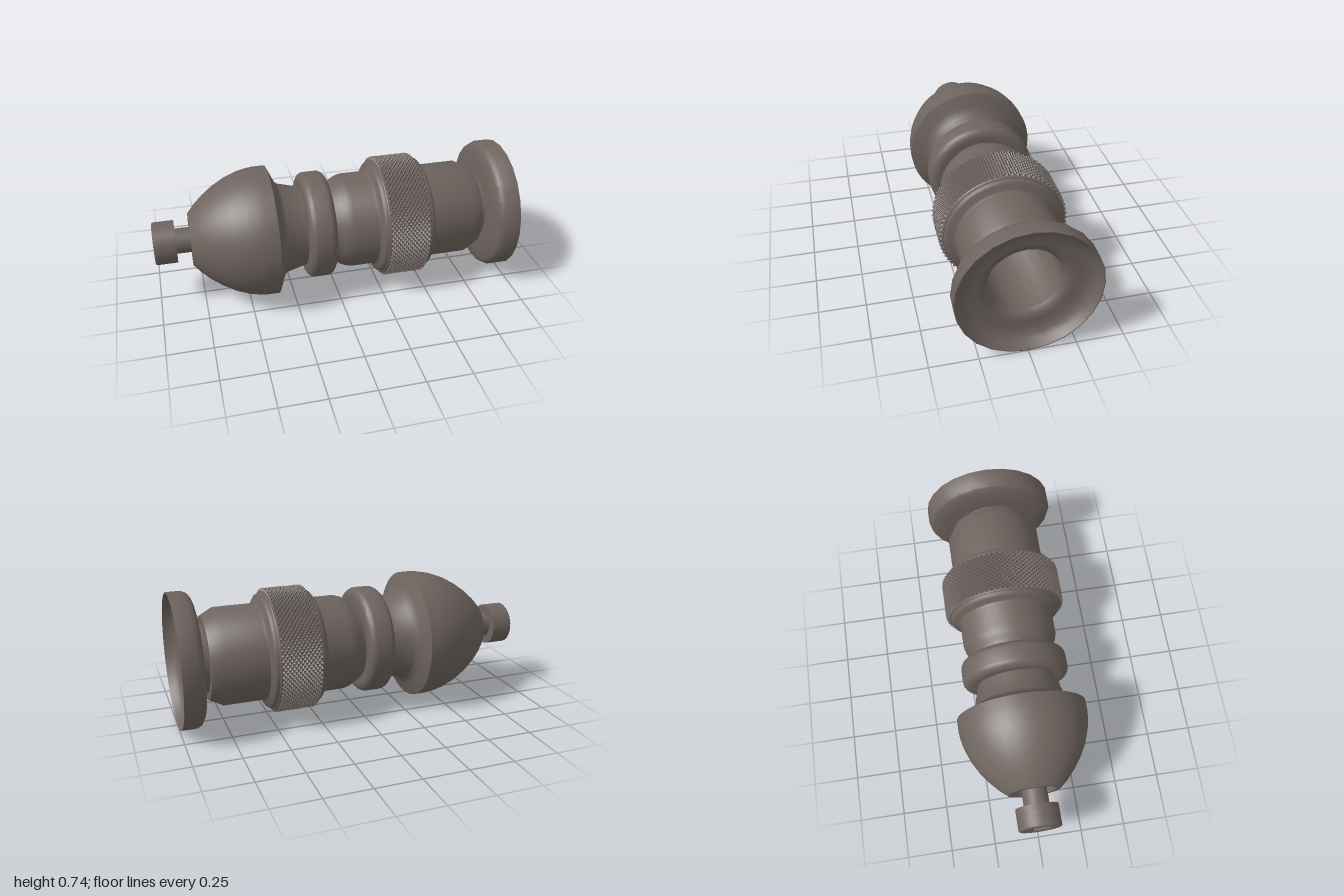
import * as THREE from 'three';
import { toCreasedNormals } from 'three/addons/utils/BufferGeometryUtils.js';

const material = new THREE.MeshStandardMaterial({ color: 0x6e645f });
const AXIS_HEIGHT = 0.37;

function part(name, geometry) {
  const mesh = new THREE.Mesh(geometry, material);
  mesh.name = name;
  return mesh;
}

// Turned part about the x axis from [x, radius] points
function turned(name, profile, segments = 48) {
  const points = profile.map(([x, r]) => new THREE.Vector2(r, x));
  const geometry = new THREE.LatheGeometry(points, segments);
  geometry.rotateZ(-Math.PI / 2);
  return part(name, toCreasedNormals(geometry, 0.6));
}

// Points along a quarter-ellipse from angle a to b
function arc(cx, cr, rx, rr, a, b, steps = 6) {
  return Array.from({ length: steps + 1 }, (_, i) => {
    const t = THREE.MathUtils.degToRad(a + (b - a) * i / steps);
    return [cx + rx * Math.cos(t), cr + rr * Math.sin(t)];
  });
}

// Band of small diamond pyramids wrapped around the axis
function knurl(x0, x1, low, high, rows, around) {
  const positions = [], index = [];
  for (let i = 0; i <= rows; i++) {
    for (let j = 0; j <= around; j++) {
      const a = j / around * Math.PI * 2;
      const peak = (i + j) % 2 === 0 && i > 0 && i < rows;
      const r = peak ? high : low;
      positions.push(x0 + (x1 - x0) * i / rows, r * Math.cos(a), r * Math.sin(a));
    }
  }
  for (let i = 0; i < rows; i++) {
    for (let j = 0; j < around; j++) {
      const a = i * (around + 1) + j, b = a + around + 1, c = b + 1, d = a + 1;
      // Split each cell along its valley
      if ((i + j) % 2 === 0) index.push(a, b, d, b, c, d);
      else index.push(a, b, c, a, c, d);
    }
  }
  let geometry = new THREE.BufferGeometry();
  geometry.setAttribute('position', new THREE.Float32BufferAttribute(positions, 3));
  // Wind outwards: +x crossed with +angle points in, so reverse
  for (let k = 0; k < index.length; k += 3) [index[k + 1], index[k + 2]] = [index[k + 2], index[k + 1]];
  geometry.setIndex(index);
  // Check the first face against the radial direction
  geometry = geometry.toNonIndexed();
  geometry.computeVertexNormals();
  const p = geometry.attributes.position, n = geometry.attributes.normal;
  const mid = Math.floor(p.count / 6) * 3;
  if (p.getY(mid) * n.getY(mid) + p.getZ(mid) * n.getZ(mid) < 0) {
    for (let k = 0; k < p.count; k += 3) {
      const u = new THREE.Vector3().fromBufferAttribute(p, k + 1);
      const v = new THREE.Vector3().fromBufferAttribute(p, k + 2);
      p.setXYZ(k + 1, v.x, v.y, v.z);
      p.setXYZ(k + 2, u.x, u.y, u.z);
    }
    geometry.computeVertexNormals();
  }
  return part('knurledBand', geometry);
}

// Screw head with a hexagonal socket facing +x, ending at x = 0
function screwHead(name) {
  const bevel = 0.006;
  const shape = new THREE.Shape().absarc(0, 0, 0.118 - bevel, 0, Math.PI * 2);
  const hex = Array.from({ length: 6 }, (_, i) =>
    new THREE.Vector2(0.073 * Math.cos(i * Math.PI / 3), 0.073 * Math.sin(i * Math.PI / 3)));
  shape.holes.push(new THREE.Path(hex));
  const collar = new THREE.ExtrudeGeometry(shape, {
    depth: 0.06, bevelThickness: bevel, bevelSize: bevel, bevelSegments: 1, curveSegments: 16,
  });
  collar.translate(0, 0, -0.06 - bevel);
  collar.rotateY(Math.PI / 2);
  const group = new THREE.Group();
  group.name = name;
  group.add(part('socketCollar', toCreasedNormals(collar, 0.6)));
  group.add(turned('headBase', [[-0.12, 0], [-0.12, 0.118], [-0.066, 0.118], [-0.066, 0]], 32));
  return group;
}

export function createModel() {
  const model = new THREE.Group();
  const fitting = new THREE.Group();
  fitting.name = 'fitting';
  fitting.position.y = AXIS_HEIGHT;
  model.add(fitting);

  // Domed nose with a recess around the screw
  fitting.add(turned('domedNose', [
    [-0.6, 0.06], [-0.6, 0.12], [-0.8, 0.12], [-0.8, 0.145],
    [-0.76, 0.191], [-0.71, 0.236], [-0.65, 0.28], [-0.58, 0.319], [-0.51, 0.345],
    [-0.45, 0.358], [-0.41, 0.362], [-0.35, 0.362],
    [-0.335, 0.33], [-0.32, 0.295], [-0.305, 0.265], [-0.29, 0.253],
    [-0.17, 0.222], [-0.15, 0.222],
  ]));

  // Rounded bead
  fitting.add(turned('roundedBead', [
    [-0.175, 0.2],
    ...arc(-0.135, 0.25, 0.04, 0.05, 180, 90),
    ...arc(-0.06, 0.25, 0.04, 0.05, 90, 0),
    [-0.02, 0.2],
  ]));

  // Barrel, collar shoulders and inner bore
  fitting.add(turned('barrel', [
    [-0.04, 0.22], [-0.015, 0.222], [0.02, 0.245], [0.05, 0.26], [0.08, 0.268],
    [0.2, 0.268], [0.217, 0.272], [0.227, 0.285], [0.232, 0.305], [0.24, 0.315], [0.255, 0.32],
    [0.5, 0.32], [0.513, 0.315], [0.52, 0.305], [0.525, 0.285], [0.533, 0.272], [0.55, 0.268],
    [0.76, 0.268], [0.835, 0.228], [0.835, 0.187], [0.88, 0.187],
  ]));
  fitting.add(turned('bore', [[0.9, 0.187], [0.25, 0.187], [0.2, 0.16], [0.18, 0.11], [0.18, 0]], 24));

  // Knurled grip with chamfered ends
  fitting.add(turned('knurlCore', [[0.25, 0.3], [0.256, 0.325], [0.265, 0.331], [0.485, 0.331], [0.494, 0.325], [0.5, 0.3]], 72));
  fitting.add(knurl(0.26, 0.49, 0.331, 0.347, 20, 144));

  // Dished end flange
  fitting.add(turned('endFlange', [
    [0.866, 0.185], [0.87, 0.25], [0.88, 0.335], [0.893, 0.357], [0.92, 0.37], [1, 0.37],
    [1, 0.365], [0.965, 0.348], [0.94, 0.325], [0.928, 0.29], [0.925, 0.25],
    [0.922, 0.225], [0.912, 0.203], [0.89, 0.187],
  ], 24));

  // Through screw with a socket head at each end
  fitting.add(turned('screwShaft', [[-0.9, 0], [-0.9, 0.07], [0.2, 0.07], [0.2, 0]], 32));
  const outerHead = screwHead('outerScrewHead');
  outerHead.rotation.y = Math.PI;
  outerHead.position.x = -1;
  const innerHead = screwHead('innerScrewHead');
  innerHead.position.x = 0.29;
  fitting.add(outerHead, innerHead);

  return model;
}
